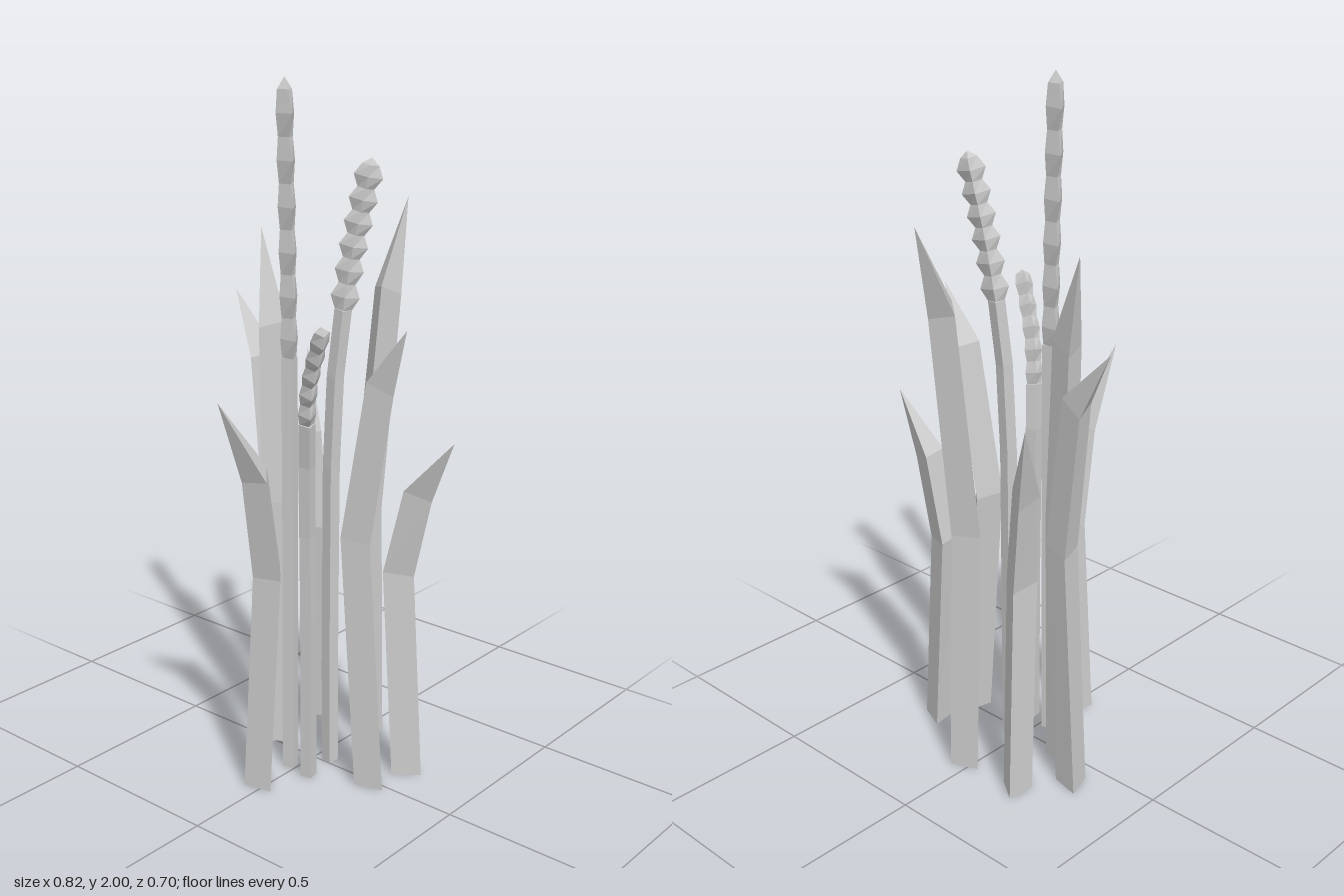
import * as THREE from 'three';

const material = new THREE.MeshStandardMaterial({ color: 0xcccccc, flatShading: true });
const V = (x, y, z) => new THREE.Vector3(x, y, z);

// Skin a list of equal-sized rings, closing the bottom flat and the top at a tip.
function loft(rings, tip) {
  const pos = [];
  const tri = (...pts) => pts.forEach((p) => pos.push(p.x, p.y, p.z));
  const n = rings[0].length;
  const base = rings[0].reduce((s, p) => s.add(p), V(0, 0, 0)).divideScalar(n);
  const last = rings[rings.length - 1];
  for (let i = 0; i < n; i++) {
    const j = (i + 1) % n;
    tri(base, rings[0][i], rings[0][j]);
    for (let k = 0; k < rings.length - 1; k++) {
      const lo = rings[k], hi = rings[k + 1];
      tri(lo[i], hi[i], lo[j]);
      tri(lo[j], hi[i], hi[j]);
    }
    tri(tip, last[j], last[i]);
  }
  const geometry = new THREE.BufferGeometry();
  geometry.setAttribute('position', new THREE.Float32BufferAttribute(pos, 3));
  geometry.computeVertexNormals();
  return geometry;
}

// Three-sided blade: base, bend and shoulder centres, then a point leaning outward.
function makeBlade({ path, tip, turn }) {
  const radius = [0.05, 0.051, 0.045];
  const slope = [0, 0.15, 0.45];
  const end = V(...tip);
  const out = V(tip[0], 0, tip[2]).normalize();
  const rings = path.map(([x, y, z], k) =>
    [0, 1, 2].map((i) => {
      const a = turn + (i * Math.PI * 2) / 3;
      const off = V(Math.cos(a), 0, Math.sin(a)).multiplyScalar(radius[k]);
      off.y = -slope[k] * off.dot(out);
      return off.add(V(x, y, z));
    }));
  return loft(rings, end);
}

// Four-sided cross-section square to a curve, wide along the given heading.
function diamond(curve, t, heading, wide, thin) {
  const p = curve.getPoint(t);
  const tangent = t === 0 ? V(0, 1, 0) : curve.getTangent(t);
  const side = heading.clone().cross(V(0, 1, 0)).normalize();
  const across = tangent.clone().cross(side).normalize();
  return [0, 1, 2, 3].map((i) => {
    const a = (i * Math.PI) / 2;
    return p.clone()
      .addScaledVector(across, Math.cos(a) * wide)
      .addScaledVector(side, Math.sin(a) * thin);
  });
}

// Grain stalk: slim stem carrying a notched seed head.
function makeStalk({ path, heading, start, bumps, wide }) {
  const group = new THREE.Group();
  group.name = 'stalk';
  const curve = new THREE.CatmullRomCurve3(path.map((p) => V(...p)));
  const dir = V(heading[0], 0, heading[1]).normalize();

  const stemRings = [];
  for (let k = 0; k <= 5; k++) stemRings.push(diamond(curve, (start * k) / 5, dir, 0.024, 0.024));
  const stem = new THREE.Mesh(loft(stemRings, curve.getPoint(start + 0.01)), material);
  stem.name = 'stem';

  const headRings = [];
  const steps = bumps * 2;
  for (let k = 0; k <= steps; k++) {
    const t = start + (0.985 - start) * (k / steps);
    headRings.push(diamond(curve, t, dir, k % 2 ? wide : wide * 0.58, k % 2 ? 0.026 : 0.021));
  }
  const head = new THREE.Mesh(loft(headRings, curve.getPoint(1)), material);
  head.name = 'seedHead';
  group.add(stem, head);
  return group;
}

export function createModel() {
  const model = new THREE.Group();
  model.name = 'grassClump';

  // Ring of bent blades; turn is the heading of one corner.
  const blades = [
    { path: [[-0.013, 0, 0.22], [0, 0.65, 0.185], [-0.003, 0.95, 0.23]], tip: [-0.035, 1.18, 0.35], turn: -1.78 },
    { path: [[0.227, 0, 0.01], [0.17, 0.75, 0.008], [0.24, 1.2, -0.002]], tip: [0.33, 1.37, 0.015], turn: 0.23 },
    { path: [[0.26, 0, -0.115], [0.222, 0.63, -0.11], [0.285, 0.88, -0.108]], tip: [0.41, 1.05, -0.1], turn: -0.13 },
    { path: [[0.02, 0, -0.23], [0.025, 0.75, -0.202], [0.055, 1.4, -0.25]], tip: [0.05, 1.65, -0.355], turn: -0.9 },
    { path: [[-0.175, 0, -0.23], [-0.158, 0.65, -0.194], [-0.2, 0.93, -0.22]], tip: [-0.28, 1.17, -0.3], turn: -2.01 },
    { path: [[-0.278, 0, -0.1], [-0.229, 0.74, -0.095], [-0.28, 1.18, -0.1]], tip: [-0.41, 1.36, -0.125], turn: -2.4 },
    { path: [[-0.165, 0, -0.02], [-0.156, 0.78, -0.017], [-0.177, 1.3, -0.025]], tip: [-0.245, 1.57, -0.058], turn: -2.36 },
  ];
  for (const spec of blades) {
    const blade = new THREE.Mesh(makeBlade(spec), material);
    blade.name = 'blade';
    model.add(blade);
  }

  // Three stalks: one upright, two bowing outward.
  model.add(
    makeStalk({
      path: [[-0.025, 0, 0.08], [-0.025, 0.7, 0.075], [-0.03, 1.3, 0.07], [-0.042, 2, 0.07]],
      heading: [0.88, 0.47], start: 0.64, bumps: 6, wide: 0.05,
    }),
    makeStalk({
      path: [[0.045, 0, -0.02], [0.045, 0.6, -0.02], [0.055, 1.15, -0.022], [0.085, 1.5, -0.05], [0.13, 1.79, -0.085]],
      heading: [0.8, -0.6], start: 0.66, bumps: 6, wide: 0.04,
    }),
    makeStalk({
      path: [[0.055, 0, 0.09], [0.055, 0.5, 0.09], [0.06, 0.95, 0.1], [0.1, 1.19, 0.14], [0.2, 1.39, 0.2]],
      heading: [0.85, 0.55], start: 0.64, bumps: 5, wide: 0.034,
    }),
  );
  return model;
}
